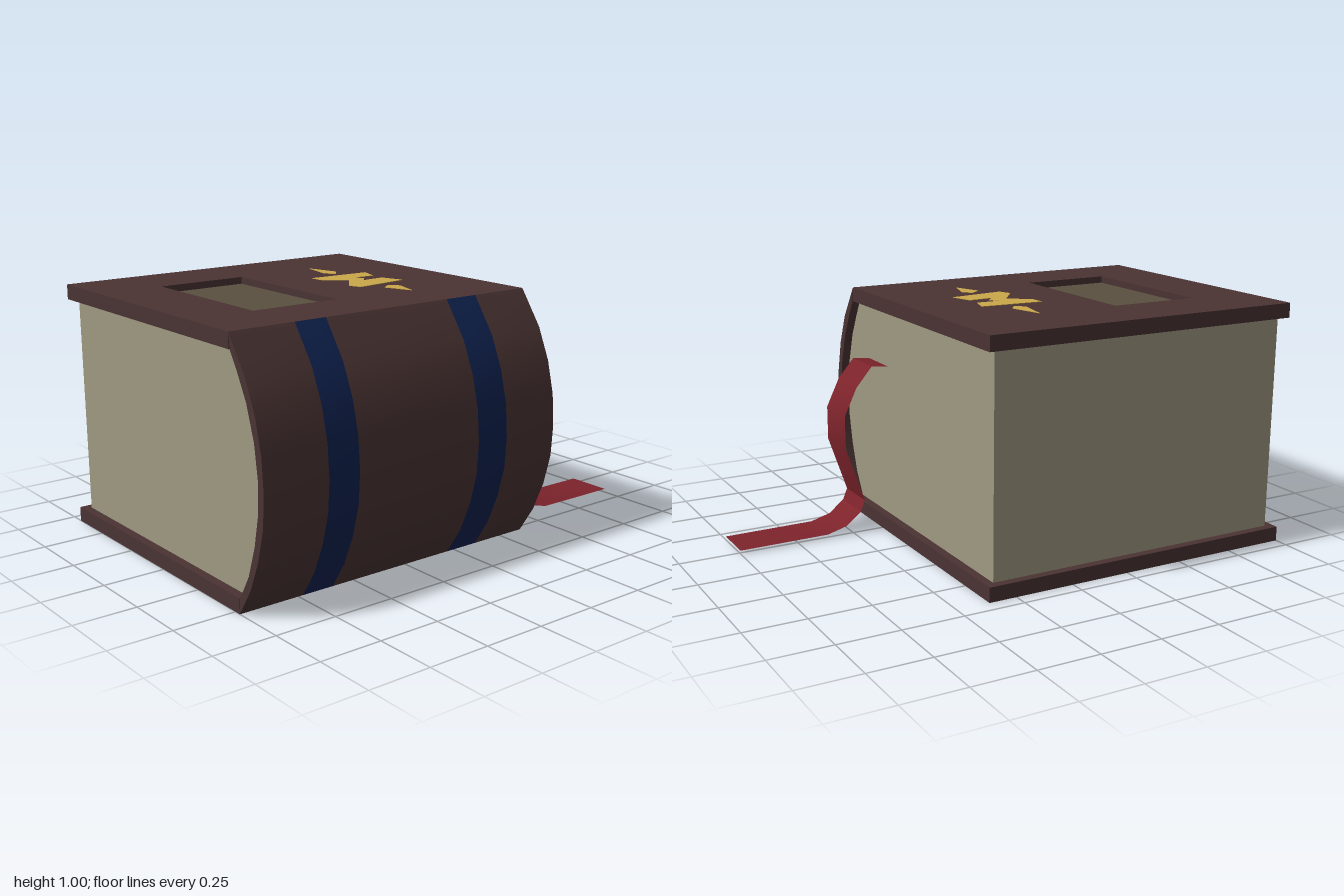
import * as THREE from 'three';
import { toCreasedNormals } from 'three/addons/utils/BufferGeometryUtils.js';

const mat = (color, side = THREE.FrontSide) => new THREE.MeshStandardMaterial({ color, side });
const LEATHER = mat(0x4a3333), BAND = mat(0x0f2250), PAGES = mat(0xa09a82);
const PANEL = mat(0x5a5040), GOLD = mat(0xcaa84a), RIBBON = mat(0x7d232b, THREE.DoubleSide);

// Book ends, back edge and the [z, y] cross-section of the rounded spine
const X0 = -1, X1 = 0.365, BACK = -0.69, THICK = 0.06;
const OUTER = [[0.502, 1], [0.6, 0.86], [0.654, 0.735], [0.685, 0.607], [0.694, 0.48],
  [0.685, 0.355], [0.652, 0.232], [0.6, 0.11], [0.528, 0]];
const INNER = [[0.51, 0.94], [0.554, 0.867], [0.602, 0.775], [0.643, 0.648], [0.661, 0.522],
  [0.658, 0.403], [0.632, 0.28], [0.591, 0.16], [0.532, 0.06]];

const shapeOf = (pts) => new THREE.Shape(pts.map(([x, y]) => new THREE.Vector2(x, y)));

// Extrudes a [z, y] section along x between two ends
function sectionAlongX(pts, xa, xb) {
  const g = new THREE.ExtrudeGeometry(shapeOf(pts), { depth: xb - xa, bevelEnabled: false });
  g.rotateY(-Math.PI / 2).translate(xb, 0, 0);
  return toCreasedNormals(g, 0.6);
}

// Extrudes an [x, z] outline downward from a given top height
function plate(shape, top, depth) {
  return new THREE.ExtrudeGeometry(shape, { depth, bevelEnabled: false })
    .rotateX(Math.PI / 2).translate(0, top, 0);
}

const rect = (xa, xb, za, zb) => [[xa, za], [xb, za], [xb, zb], [xa, zb]];

export function createModel() {
  const book = new THREE.Group();
  book.name = 'book';
  const add = (name, geometry, material) => {
    const mesh = new THREE.Mesh(geometry, material);
    mesh.name = name;
    book.add(mesh);
  };

  // Front cover with a recessed window, and plain back cover
  const window_ = rect(-0.73, -0.355, -0.41, 0.245);
  const cover = shapeOf(rect(X0, X1, BACK, 0.502));
  cover.holes.push(shapeOf(window_));
  add('topCover', plate(cover, 1, THICK), LEATHER);
  add('coverPanel', plate(shapeOf(window_), 0.972, 0.03), PANEL);
  add('bottomCover', plate(shapeOf(rect(X0, X1, BACK, 0.528)), THICK, THICK), LEATHER);

  // Spine cut into leather and coloured band slices
  const cuts = [X0, -0.73, -0.597, -0.033, 0.112, X1];
  const spine = [...OUTER, ...INNER.slice().reverse()];
  for (let i = 0; i < cuts.length - 1; i++) {
    const isBand = i % 2 === 1;
    add(isBand ? 'spineBand' : 'spine', sectionAlongX(spine, cuts[i], cuts[i + 1]), isBand ? BAND : LEATHER);
  }

  // Page block, set in from the cover edges
  add('pages', sectionAlongX([[-0.662, 0.94], ...INNER, [-0.655, 0.06]], X0 + 0.035, X1 - 0.035), PAGES);

  // Gilt ornament: waisted centre plate between two lozenges
  const ornaments = [
    [[-0.15, -0.195], [0.115, -0.18], [0.09, -0.095], [-0.01, -0.1], [0.02, -0.065], [-0.015, -0.025],
      [0.085, -0.03], [0.115, 0.065], [-0.12, 0.095], [-0.14, 0.04], [-0.06, -0.065], [-0.145, -0.135]],
    [[-0.008, -0.41], [0.03, -0.27], [0, -0.23], [-0.035, -0.265]],
    [[-0.012, 0.275], [0.02, 0.165], [-0.01, 0.125], [-0.055, 0.16]],
  ];
  for (const pts of ornaments) add('coverOrnament', plate(shapeOf(pts), 1.002, 0.004), GOLD);

  // Bookmark ribbon: flat strip following an [x, y] path
  const path = [[0.325, 0.703], [0.405, 0.712], [0.475, 0.63], [0.53, 0.515], [0.53, 0.375],
    [0.45, 0.14], [0.47, 0.092], [0.535, 0.04], [0.62, 0.017], [1, 0.015]];
  const strip = new THREE.PlaneGeometry(1, 1, 1, path.length - 1);
  const pos = strip.attributes.position;
  path.forEach(([x, y], i) => {
    pos.setXYZ(2 * i, x, y, 0.425);
    pos.setXYZ(2 * i + 1, x, y, 0.235);
  });
  add('ribbon', toCreasedNormals(strip, 0.5), RIBBON);

  return book;
}
